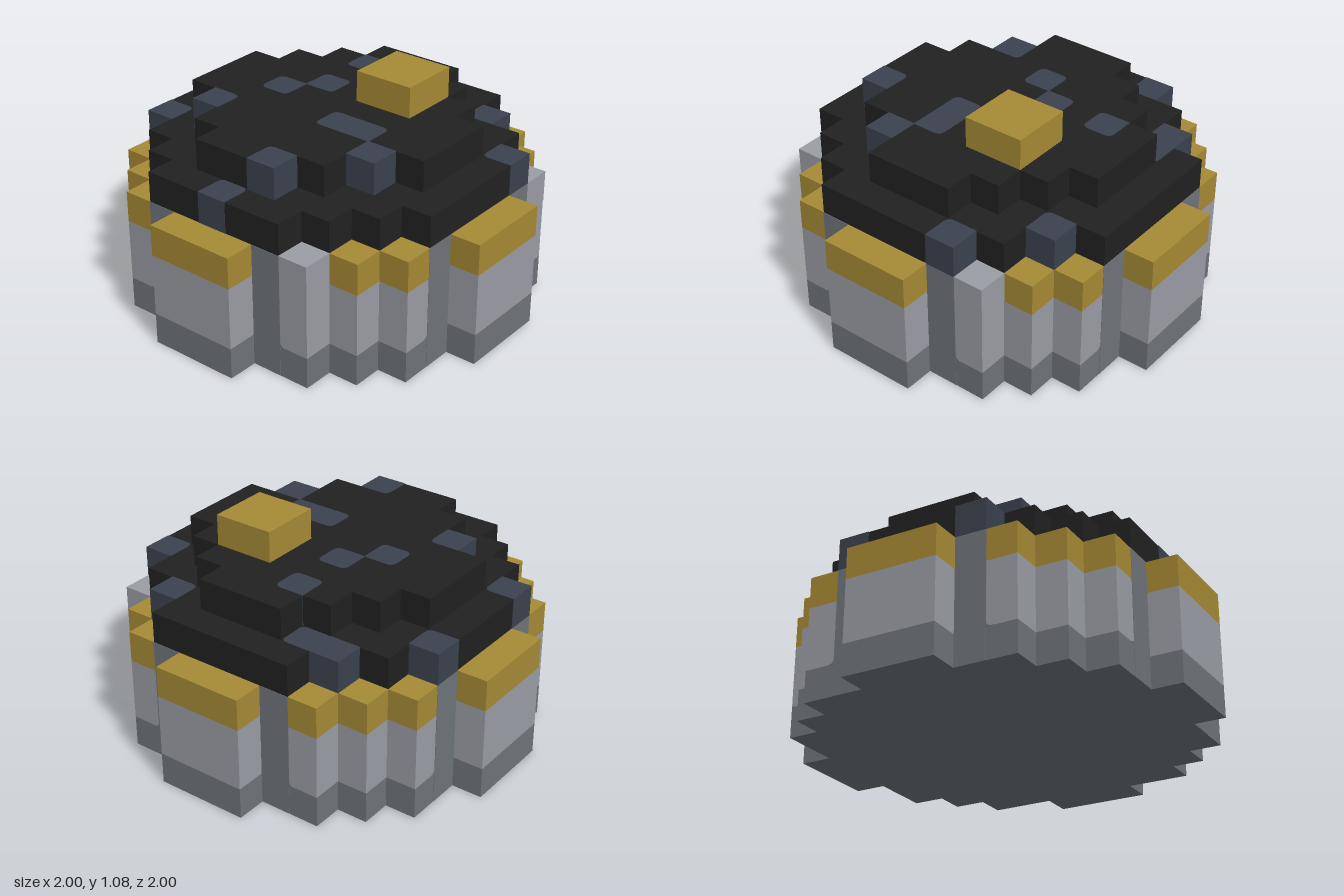
import * as THREE from 'three';

const U = 2 / 13; // one block
const paint = (name, color) => {
  const m = new THREE.MeshStandardMaterial({ color });
  m.name = name;
  return m;
};

// Half-widths in blocks for the rows |z| = 0, 1, 2, ...
const BODY = [6, 6, 5, 5, 4, 3, 1];
const LOWER = [5, 5, 5, 4, 3, 2];
const UPPER = [4, 4, 3, 2, 1];
const inside = (rows, x, z) => Math.abs(z) < rows.length && Math.abs(x) <= rows[Math.abs(z)];

// Stepped round outline of a layer
function outline(rows) {
  const n = rows.length - 1;
  const right = [];
  for (let z = -n; z <= n; z++) {
    const w = rows[Math.abs(z)] + 0.5;
    if (z > -n && rows[Math.abs(z - 1)] === rows[Math.abs(z)]) right.pop();
    else right.push([w, z - 0.5]);
    right.push([w, z + 0.5]);
  }
  const left = right.map(([x, z]) => [-x, z]).reverse();
  return new THREE.Shape([...right, ...left].map(([x, z]) => new THREE.Vector2(x * U, -z * U)));
}

// Extrude a plan shape upwards from y0 to y1
function upright(shape, y0, y1) {
  const geo = new THREE.ExtrudeGeometry(shape, { depth: y1 - y0, bevelEnabled: false, curveSegments: 5 });
  return geo.rotateX(-Math.PI / 2).translate(0, y0, 0);
}

// Plan of one block, grown by e, with chosen corners rounded
function blockShape(x, z, e, isRound) {
  const h = U / 2 + e, r = 0.035, cx = x * U, cy = -z * U;
  const s = new THREE.Shape();
  [[1, -1], [1, 1], [-1, 1], [-1, -1]].forEach(([sx, sy], i) => {
    const px = cx + sx * h, py = cy + sy * h;
    const k = isRound(sx, -sy) ? r : 0;
    const alongY = sx * sy < 0; // this corner is reached along x
    const a = alongY ? [px - sx * k, py] : [px, py - sy * k];
    const b = alongY ? [px, py - sy * k] : [px - sx * k, py];
    if (i === 0) s.moveTo(...a); else s.lineTo(...a);
    if (k) s.quadraticCurveTo(px, py, ...b);
  });
  return s;
}

export function createModel() {
  const gold = paint('gold', 0xa68a35);
  const black = paint('black', 0x212121);
  const slate = paint('slate', 0x3b424e);
  const light = paint('light grey', 0x9b9da5);
  const dark = paint('dark grey', 0x6f747a);
  const root = new THREE.Group();
  root.name = 'steppedDome';
  const add = (name, geo, mat, parent = root) => {
    const m = new THREE.Mesh(geo, mat);
    m.name = name;
    parent.add(m);
    return m;
  };
  const group = (name) => {
    const g = new THREE.Group();
    g.name = name;
    root.add(g);
    return g;
  };

  // Stacked layers
  for (const [name, rows, y0, y1, mat] of [
    ['baseBand', BODY, 0, 1, dark],
    ['wallBand', BODY, 1, 3, light],
    ['rimBand', BODY, 3, 4, gold],
    ['lowerRoof', LOWER, 4, 5, black],
    ['upperRoof', UPPER, 5, 6, black],
  ]) add(name, upright(outline(rows), y0 * U, y1 * U), mat);

  // Square knob, off centre
  add('knob', new THREE.BoxGeometry(2 * U, U, 2 * U).translate(1.5 * U, 6.5 * U, 1.5 * U), gold);

  // Full-height dark pillars in the notches, with a curved foot beside each
  const pillars = group('pillars');
  const square = () => false;
  for (const sx of [-1, 1]) for (const sz of [-1, 1]) {
    for (const [x, z] of [[2, 5], [5, 2]]) {
      add('pillar', upright(blockShape(x * sx, z * sz, 0.002, square), 0.001, 4 * U), dark, pillars);
    }
  }
  for (let q = 0; q < 4; q++) for (const s of [-1, 1]) {
    const x = 2.5 * U, r = 0.035;
    const foot = new THREE.Shape();
    foot.moveTo(s * x, U);
    foot.lineTo(s * (x + r), U);
    foot.quadraticCurveTo(s * x, U, s * x, U + r);
    const geo = new THREE.ExtrudeGeometry(foot, { depth: 0.002, bevelEnabled: false, curveSegments: 5 });
    add('pillarFoot', geo.translate(0, 0, 5.5 * U).rotateY(q * Math.PI / 2), dark, pillars);
  }

  // Two rim blocks without gold
  for (const [x, z] of [[-5, 3], [3, 5]]) {
    add('bareRimBlock', upright(blockShape(x, z, 0.0015, square), 3 * U, 4 * U + 0.0015), light);
  }

  // Slate blocks set into the roof, rounded where black surrounds a corner
  function slates(name, rows, level, cells) {
    const g = group(name);
    const isSlate = (x, z) => cells.some(([a, b]) => a === x && b === z);
    const plain = (x, z) => inside(rows, x, z) && !isSlate(x, z);
    for (const [x, z] of cells) {
      const isRound = (sx, sz) => plain(x + sx, z) && plain(x, z + sz) && plain(x + sx, z + sz);
      add('slateBlock', upright(blockShape(x, z, 0.002, isRound), level * U, (level + 1) * U + 0.002), slate, g);
    }
  }
  slates('lowerSlates', LOWER, 4, [[-2, -5], [2, -5], [4, -3], [4, -2], [-5, 0], [4, 3], [2, 5]]);
  slates('upperSlates', UPPER, 5, [[-2, -3], [0, -2], [1, -1], [3, -1], [-4, 1], [-1, 1], [-1, 2], [-2, 3]]);

  return root;
}
